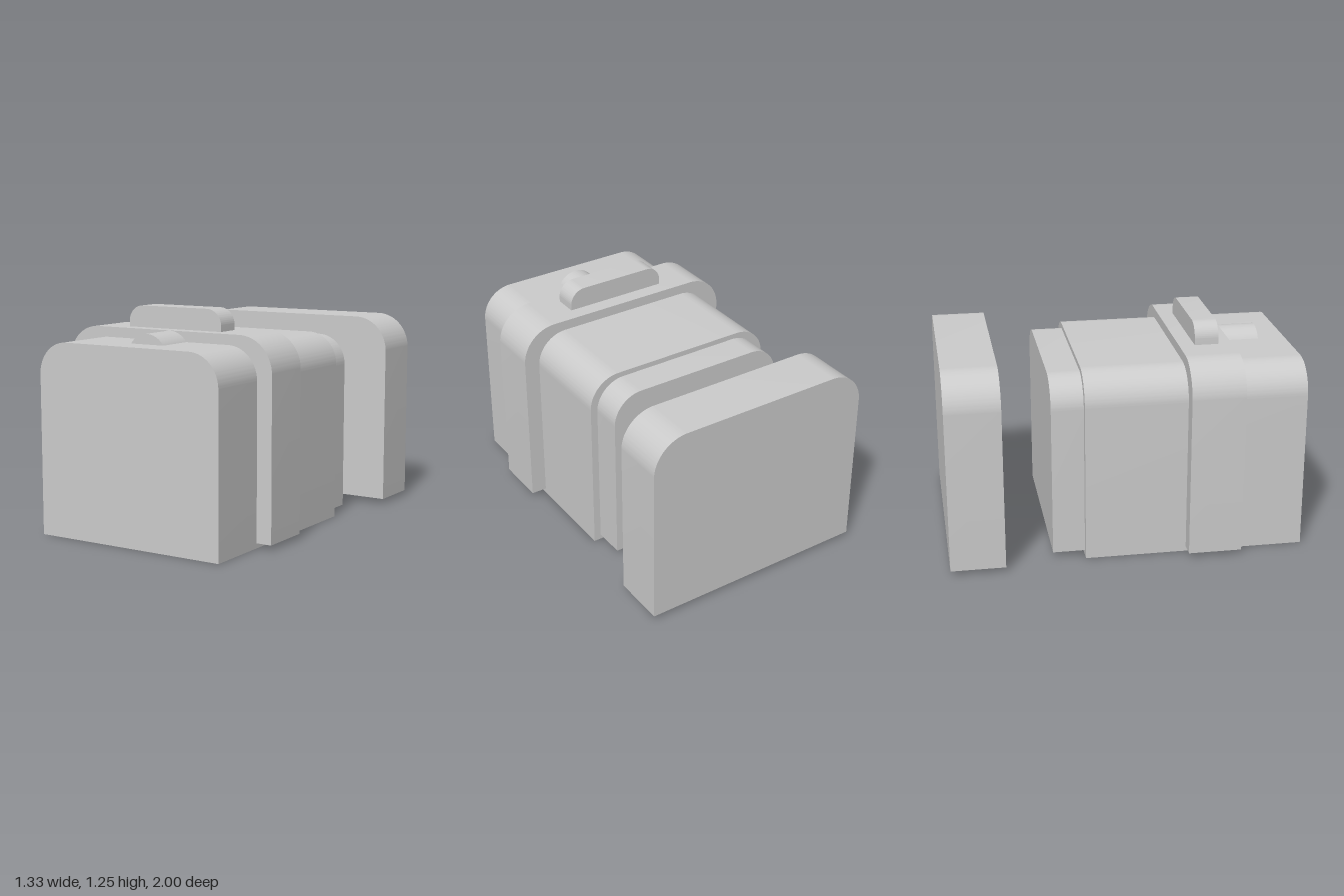
import * as THREE from 'three';
import { toCreasedNormals } from 'three/addons/utils/BufferGeometryUtils.js';

const material = new THREE.MeshStandardMaterial({ color: 0xcccccc });

// Upright slab outline: square bottom, rounded top corners
function archShape(x0, x1, y0, y1, r) {
  const s = new THREE.Shape();
  s.moveTo(x0, y0);
  s.lineTo(x1, y0);
  s.lineTo(x1, y1 - r);
  s.absarc(x1 - r, y1 - r, r, 0, Math.PI / 2, false);
  s.lineTo(x0 + r, y1);
  s.absarc(x0 + r, y1 - r, r, Math.PI / 2, Math.PI, false);
  s.closePath();
  return s;
}

// Low circular dome outline standing on a chord
function domeShape(cx, halfWidth, y0, y1) {
  const h = y1 - y0;
  const r = (halfWidth * halfWidth + h * h) / (2 * h);
  const a = Math.asin(halfWidth / r);
  const s = new THREE.Shape();
  s.absarc(cx, y1 - r, r, Math.PI / 2 - a, Math.PI / 2 + a, false);
  s.closePath();
  return s;
}

// Extrude an outline between two depths, smooth curves with sharp edges
function slab(name, shape, z0, z1) {
  const geo = new THREE.ExtrudeGeometry(shape, {
    depth: z1 - z0, bevelEnabled: false, curveSegments: 20,
  });
  geo.translate(0, 0, z0);
  const mesh = new THREE.Mesh(toCreasedNormals(geo, 0.5), material);
  mesh.name = name;
  return mesh;
}

export function createModel() {
  const group = new THREE.Group();
  group.name = 'case';

  // Main body and the narrower neck behind it
  group.add(slab('body', archShape(-0.578, 0.576, 0, 1.075, 0.18), -0.24, 1));
  group.add(slab('neck', archShape(-0.537, 0.535, 0.03, 1.045, 0.17), -0.42, -0.235));

  // Collar around the body and the detached rear cap share one outline
  const collar = archShape(-0.668, 0.666, 0.028, 1.132, 0.2);
  group.add(slab('collar', collar, 0.33, 0.63));
  group.add(slab('rearCap', collar, -1, -0.695));

  // Grip on top of the collar and the catch in front of it
  group.add(slab('grip', archShape(-0.305, 0.302, 1.1, 1.252, 0.09), 0.418, 0.552));
  group.add(slab('catch', domeShape(0.025, 0.105, 1.074, 1.131), 0.62, 0.843));

  return group;
}
